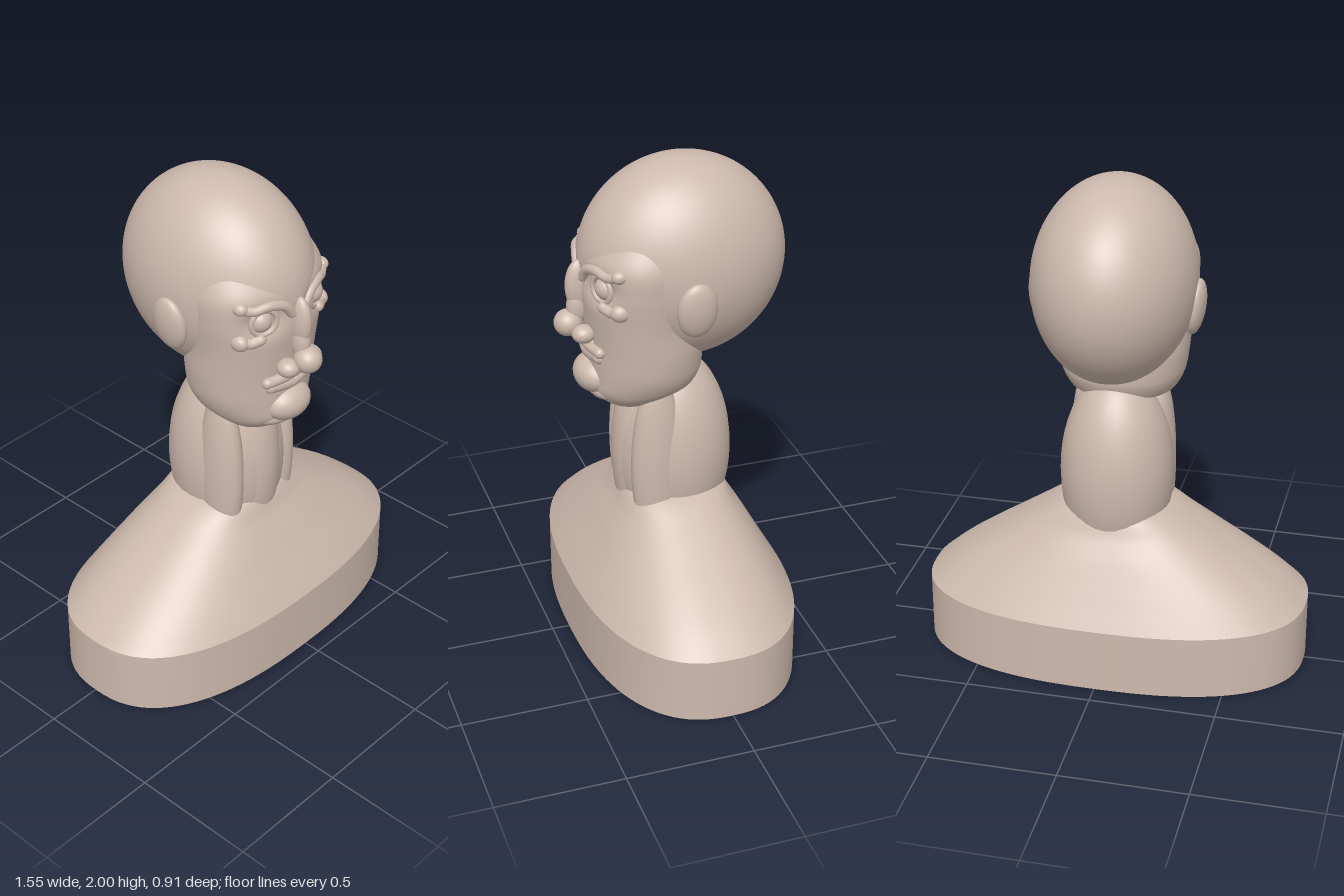
import * as THREE from 'three';
import { mergeVertices } from 'three/addons/utils/BufferGeometryUtils.js';

const clay = new THREE.MeshStandardMaterial({ color: 0xcdb9ac });
clay.name = 'clay';

// Closed skin over superellipse rows [y, halfX, zFront, zBack]; a repeated row makes a sharp edge.
function loft(rows, power = 2, segments = 72) {
  const pos = [], index = [];
  const root = (v) => Math.sign(v) * Math.abs(v) ** (2 / power);
  rows.forEach(([y, hx, zf, zb]) => {
    for (let j = 0; j < segments; j++) {
      const t = (j / segments) * Math.PI * 2;
      pos.push(hx * root(Math.cos(t)), y, (zf + zb) / 2 + ((zf - zb) / 2) * root(Math.sin(t)));
    }
  });
  for (let i = 0; i < rows.length - 1; i++) {
    if (rows[i].every((v, k) => v === rows[i + 1][k])) continue;
    for (let j = 0; j < segments; j++) {
      const k = (j + 1) % segments;
      const a = i * segments + j, b = i * segments + k, c = a + segments, d = b + segments;
      index.push(a, c, b, b, c, d);
    }
  }
  const geo = new THREE.BufferGeometry();
  geo.setAttribute('position', new THREE.Float32BufferAttribute(pos, 3));
  geo.setIndex(index);
  geo.computeVertexNormals();
  return geo;
}

// Smoothly resample a few rows into many
function smoothRows(rows, count) {
  const a = new THREE.CatmullRomCurve3(rows.map((r) => new THREE.Vector3(r[0], r[1], 0)));
  const b = new THREE.CatmullRomCurve3(rows.map((r) => new THREE.Vector3(r[2], r[3], 0)));
  return Array.from({ length: count + 1 }, (_, i) => {
    const p = a.getPoint(i / count), q = b.getPoint(i / count);
    return [p.x, p.y, q.x, q.y];
  });
}

// Press the two eye sockets into a head surface
function pressSockets(geo) {
  const p = geo.attributes.position;
  for (let i = 0; i < p.count; i++) {
    if (p.getZ(i) < 0.1) continue;
    const dx = (Math.abs(p.getX(i)) - 0.14) / 0.075, dy = (p.getY(i) - 1.565) / 0.055;
    p.setZ(i, p.getZ(i) - 0.04 * Math.exp(-(dx * dx + dy * dy)));
  }
  geo.computeVertexNormals();
  return geo;
}

// Depth of the face surface at a given x
const faceZ = (x, front = 0.355) => front - 0.23 * (1 - Math.sqrt(1 - (x / 0.29) ** 2));

export function createModel() {
  const model = new THREE.Group();
  model.name = 'bust';

  const add = (name, geo, parent = model) => {
    const mesh = new THREE.Mesh(geo, clay);
    mesh.name = name;
    parent.add(mesh);
    return mesh;
  };
  const blob = (name, [x, y, z], [rx, ry, rz], parent = model) => {
    const mesh = add(name, new THREE.SphereGeometry(1, 32, 24), parent);
    mesh.position.set(x, y, z);
    mesh.scale.set(rx, ry, rz);
    return mesh;
  };
  // Soft roll of flesh with rounded ends
  const roll = (name, points, r, parent = model) => {
    const pts = points.map((p) => new THREE.Vector3(...p));
    add(name, new THREE.TubeGeometry(new THREE.CatmullRomCurve3(pts), 28, r, 12), parent);
    [points[0], points[points.length - 1]].forEach((p) => blob(name + 'End', p, [r, r, r], parent));
  };

  // Plinth with a flat underside
  const foot = [0, 0.775, 0.43, -0.42], rim = [0.262, 0.775, 0.43, -0.42];
  add('plinth', loft([[0, 0.001, 0.001, -0.001], foot, foot, rim], 2.45, 96));

  // Shoulders sloping up to the neck
  add('shoulders', loft(smoothRows([
    [0.262, 0.775, 0.43, -0.42], [0.34, 0.685, 0.383, -0.375], [0.42, 0.575, 0.333, -0.33],
    [0.5, 0.455, 0.285, -0.285], [0.58, 0.335, 0.235, -0.235], [0.65, 0.225, 0.2, -0.2],
    [0.69, 0.12, 0.1, -0.1],
  ], 30), 2.45, 96));

  // Neck mass and its front cords
  blob('neck', [0, 0.78, -0.01], [0.225, 0.42, 0.235]);
  blob('throat', [0, 0.79, 0.125], [0.115, 0.36, 0.108]);
  for (const s of [-1, 1]) blob('neckCord', [s * 0.145, 0.78, 0.095], [0.068, 0.38, 0.105]);

  // Skull
  const skull = new THREE.SphereGeometry(1, 96, 72);
  skull.scale(0.315, 0.4, 0.405).translate(0, 1.6, -0.048);
  skull.deleteAttribute('uv');
  skull.deleteAttribute('normal');
  add('skull', pressSockets(mergeVertices(skull, 1e-5)));

  // Face and jaw
  add('face', pressSockets(loft(smoothRows([
    [1.02, 0.005, 0.185, 0.175], [1.028, 0.08, 0.24, 0.11], [1.05, 0.14, 0.28, 0.06],
    [1.085, 0.185, 0.315, -0.02], [1.12, 0.215, 0.33, -0.09], [1.18, 0.243, 0.33, -0.115],
    [1.27, 0.258, 0.332, -0.12], [1.4, 0.267, 0.343, -0.1], [1.55, 0.285, 0.357, -0.1],
    [1.65, 0.285, 0.35, -0.1], [1.76, 0.24, 0.29, -0.1],
  ], 80), 2.1, 96)));

  // Nose
  const nose = new THREE.Group();
  nose.name = 'nose';
  model.add(nose);
  blob('noseBridge', [0, 1.525, 0.355], [0.034, 0.105, 0.054], nose);
  blob('noseRidge', [0, 1.44, 0.365], [0.034, 0.075, 0.04], nose);
  blob('noseTip', [0, 1.378, 0.4], [0.054, 0.053, 0.055], nose);
  for (const s of [-1, 1]) blob('nostril', [s * 0.063, 1.352, 0.358], [0.042, 0.036, 0.045], nose);

  // Mouth
  roll('upperLip', [-0.125, -0.06, 0, 0.06, 0.125].map((x) =>
    [x, 1.3 - Math.abs(x) * 0.06, faceZ(x, 0.337)]), 0.022);
  blob('lipGroove', [0, 1.315, 0.325], [0.085, 0.035, 0.035]);
  roll('lowerLip', [-0.1, -0.05, 0, 0.05, 0.1].map((x) =>
    [x, 1.25 + Math.abs(x) * 0.12, faceZ(x, 0.322)]), 0.026);

  // Chin
  blob('chin', [0, 1.155, 0.3], [0.105, 0.075, 0.082]);
  blob('underChin', [0, 1.1, 0.25], [0.13, 0.05, 0.085]);

  for (const s of [-1, 1]) {
    // Eye with lids
    const eye = new THREE.Group();
    eye.name = s > 0 ? 'leftEye' : 'rightEye';
    model.add(eye);
    blob('eyeball', [s * 0.14, 1.565, 0.285], [0.047, 0.047, 0.047], eye);
    const lids = add('eyelids', new THREE.TorusGeometry(0.051, 0.011, 12, 40), eye);
    lids.position.set(s * 0.14, 1.562, 0.306);
    lids.rotation.y = s * 0.4;

    // Brow ridge ending in a fold at the temple
    roll('brow', [[0.035, 1.575], [0.07, 1.617], [0.13, 1.635], [0.185, 1.625], [0.225, 1.637]]
      .map(([x, y]) => [s * x, y, faceZ(x, 0.348)]), 0.02);
    blob('browFold', [s * 0.222, 1.638, 0.262], [0.027, 0.026, 0.032]);

    // Bag under the eye
    roll('eyeBag', [[0.16, 1.497], [0.19, 1.488], [0.222, 1.497]]
      .map(([x, y]) => [s * x, y, faceZ(x, 0.345)]), 0.022);
    blob('cheekFold', [s * 0.22, 1.492, 0.258], [0.03, 0.034, 0.04]);

    // Ear
    const ear = blob(s > 0 ? 'leftEar' : 'rightEar', [s * 0.304, 1.5, -0.01], [0.038, 0.112, 0.078]);
    ear.rotation.z = -s * 0.12;
  }
  return model;
}
